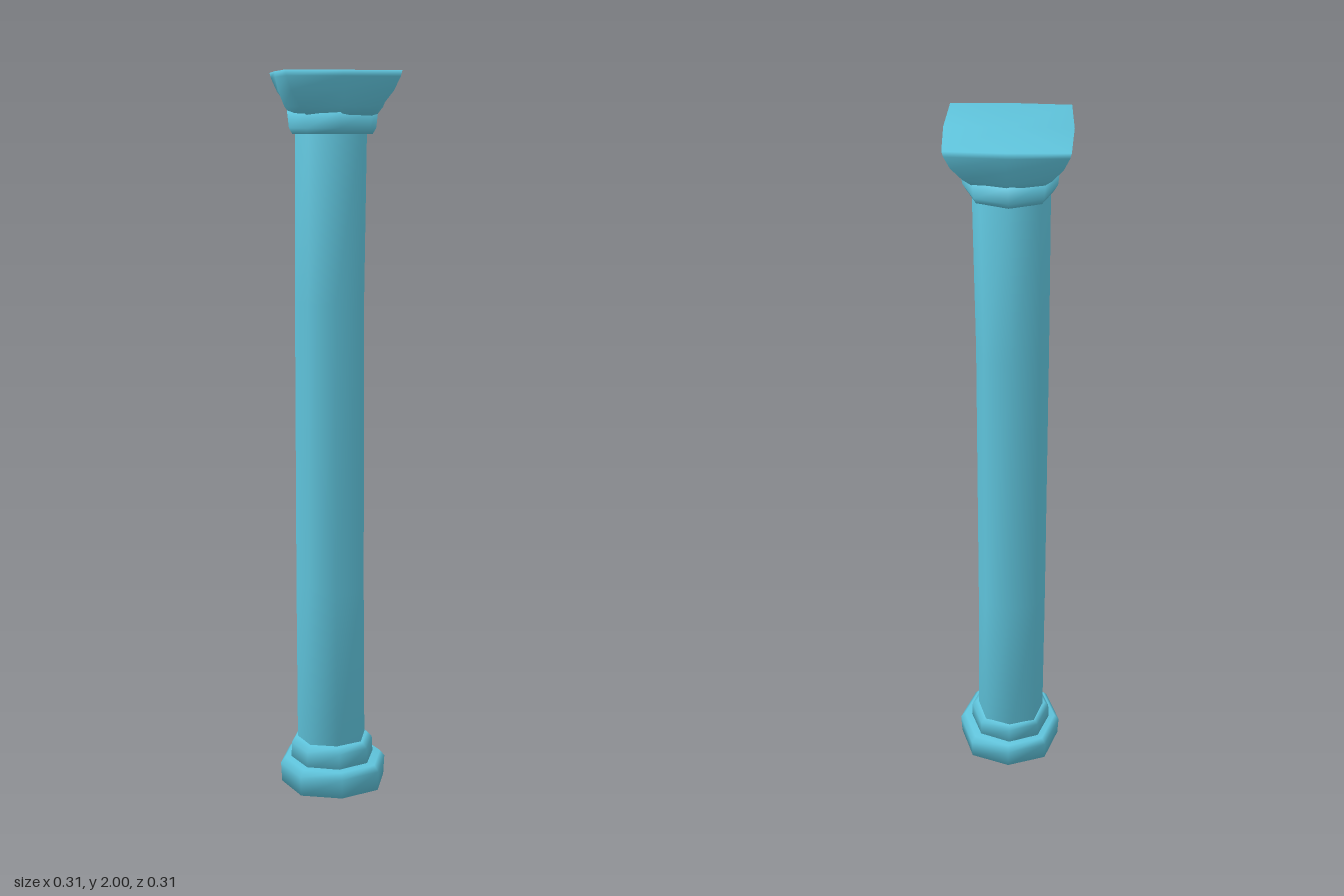
import * as THREE from 'three';

const SIDES = 8;
const material = new THREE.MeshStandardMaterial({ color: 0x5fc4dc });

// Closed, smooth-shaded loft through eight-sided rings.
// Ring: [y, radius on the axes, radius on the diagonals, centre x, centre z]
function loft(name, rings, bottomY = rings[0][0], topY = rings[rings.length - 1][0]) {
  const positions = [];
  const index = [];
  for (const [y, axisR, diagonalR, cx = 0, cz = 0] of rings) {
    for (let i = 0; i < SIDES; i++) {
      const a = (i / SIDES) * Math.PI * 2;
      const r = i % 2 ? diagonalR : axisR;
      positions.push(cx + Math.sin(a) * r, y, cz + Math.cos(a) * r);
    }
  }
  const last = (rings.length - 1) * SIDES;
  const bottom = rings.length * SIDES;
  const top = bottom + 1;
  const [, , , bx = 0, bz = 0] = rings[0];
  const [, , , tx = 0, tz = 0] = rings[rings.length - 1];
  positions.push(bx, bottomY, bz, tx, topY, tz);
  for (let i = 0; i < SIDES; i++) {
    const j = (i + 1) % SIDES;
    for (let k = 0; k < last; k += SIDES) {
      index.push(k + i, k + j, k + SIDES + j, k + i, k + SIDES + j, k + SIDES + i);
    }
    index.push(bottom, j, i, top, last + i, last + j);
  }
  const geometry = new THREE.BufferGeometry();
  geometry.setAttribute('position', new THREE.Float32BufferAttribute(positions, 3));
  geometry.setIndex(index);
  geometry.computeVertexNormals();
  const mesh = new THREE.Mesh(geometry, material);
  mesh.name = name;
  return mesh;
}

export function createModel() {
  const group = new THREE.Group();
  group.name = 'column';
  group.add(
    // Rounded foot with a slightly bulging underside
    loft('base', [
      [0.02, 0.148, 0.155, -0.003, 0],
      [0.075, 0.151, 0.157, -0.003, 0],
      [0.092, 0.138, 0.143, -0.003, 0],
    ], 0),
    // Collar between foot and shaft
    loft('lowerCollar', [
      [0.08, 0.119, 0.122, -0.005, -0.003],
      [0.135, 0.116, 0.12, -0.005, -0.003],
      [0.15, 0.104, 0.106, -0.006, -0.006],
    ]),
    // Slightly uneven shaft
    loft('shaft', [
      [0.1, 0.097, 0.103, -0.006, -0.01],
      [0.6, 0.096, 0.102, -0.009, -0.011],
      [1.4, 0.095, 0.101, -0.01, -0.011],
      [1.88, 0.097, 0.103, -0.006, -0.01],
    ]),
    // Collar under the capital
    loft('upperCollar', [
      [1.84, 0.108, 0.112, -0.003, -0.002],
      [1.855, 0.117, 0.12, -0.003, -0.002],
      [1.9, 0.122, 0.125, -0.003, -0.002],
    ]),
    // Capital flaring from an octagon to a near-square top
    loft('capital', [
      [1.885, 0.112, 0.118],
      [1.91, 0.132, 0.15],
      [1.95, 0.148, 0.188],
      [1.985, 0.156, 0.208],
      [2, 0.157, 0.213],
    ]),
  );
  return group;
}
